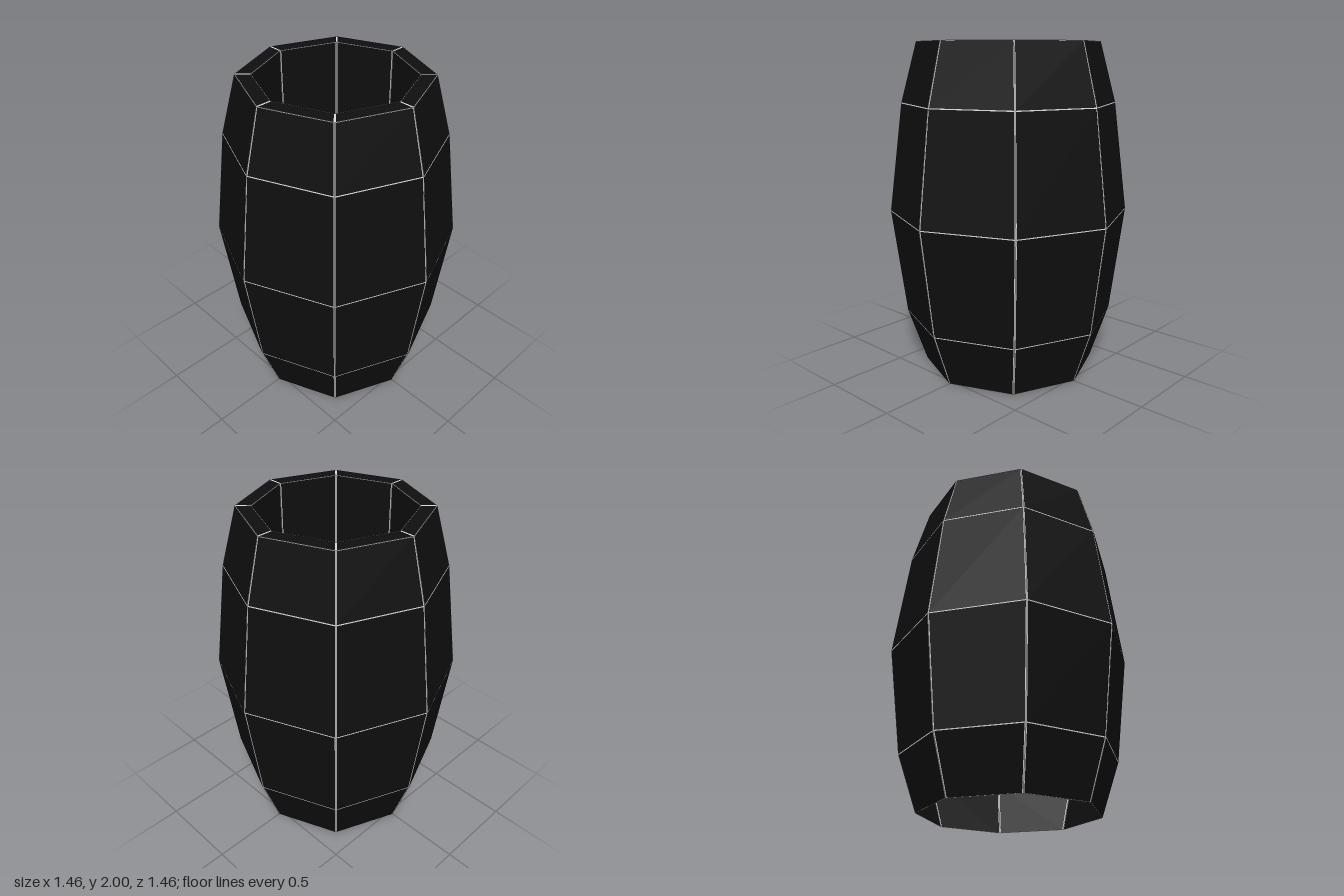
import * as THREE from 'three';

const SIDES = 8;
const SEAM_V = 0.006; // half width of the upright seams
const SEAM_H = 0.003; // half width of the level seams

const darkWood = new THREE.MeshStandardMaterial({ color: 0x0e0e0e, side: THREE.DoubleSide });
darkWood.name = 'black';
const paleSeam = new THREE.MeshStandardMaterial({ color: 0xd8d8d8, side: THREE.DoubleSide });
paleSeam.name = 'pale grey';

// Corner of the octagonal cross-section
function corner([r, y], i) {
  const a = (i / SIDES) * Math.PI * 2;
  return new THREE.Vector3(r * Math.cos(a), y, -r * Math.sin(a));
}

function makeMesh(points, material, name) {
  const geometry = new THREE.BufferGeometry().setFromPoints(points);
  geometry.computeVertexNormals();
  const mesh = new THREE.Mesh(geometry, material);
  mesh.name = name;
  return mesh;
}

// One band of eight flat staves between two profile points, each with a pale border
function makeBand(low, high, name) {
  const staves = [];
  const seams = [];
  for (let i = 0; i < SIDES; i++) {
    const a = corner(low, i), b = corner(low, i + 1);
    const d = corner(high, i), c = corner(high, i + 1);
    const u = SEAM_V / a.distanceTo(b);
    const v = SEAM_H / a.distanceTo(d);
    const us = [0, u, 1 - u, 1];
    const vs = [0, v, 1 - v, 1];
    const at = (s, t) => a.clone().lerp(b, s).lerp(d.clone().lerp(c, s), t);
    for (let m = 0; m < 3; m++) {
      for (let n = 0; n < 3; n++) {
        const p = at(us[m], vs[n]), q = at(us[m + 1], vs[n]);
        const r = at(us[m + 1], vs[n + 1]), s = at(us[m], vs[n + 1]);
        (m === 1 && n === 1 ? staves : seams).push(p, q, r, p, r, s);
      }
    }
  }
  const band = new THREE.Group();
  band.name = name;
  band.add(makeMesh(staves, darkWood, name + 'Staves'));
  band.add(makeMesh(seams, paleSeam, name + 'Seams'));
  return band;
}

export function createModel() {
  const barrel = new THREE.Group();
  barrel.name = 'barrel';

  // Radius and height: up the bulging shell, across the rim, down the inner wall
  const profile = [
    [0.53, 0], [0.645, 0.33], [0.73, 0.98], [0.645, 1.64],
    [0.547, 2], [0.457, 2], [0.457, 1],
  ];
  const names = ['foot', 'lowerShell', 'upperShell', 'shoulder', 'rim', 'innerWall'];
  names.forEach((name, k) => barrel.add(makeBand(profile[k], profile[k + 1], name)));
  return barrel;
}
